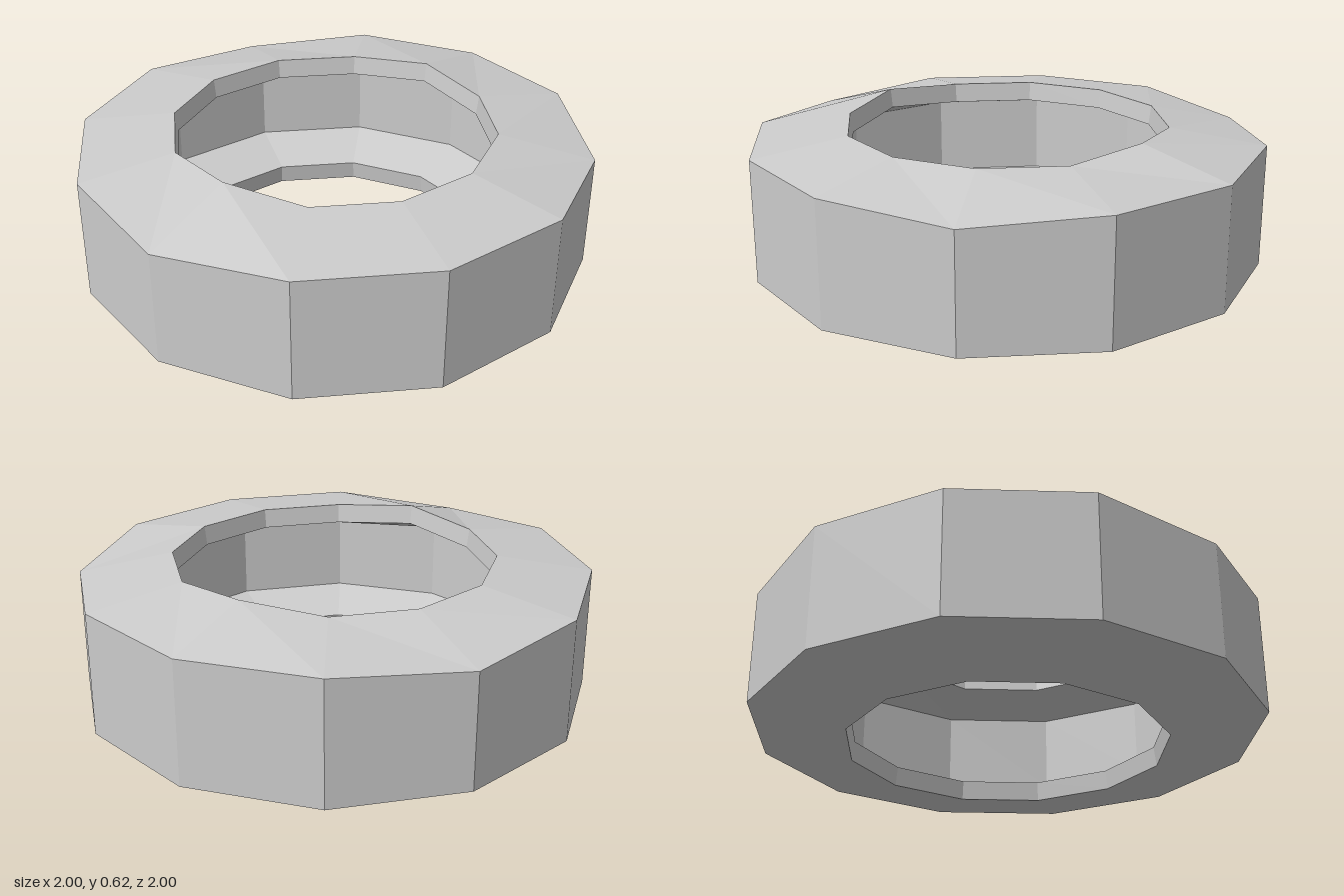
import * as THREE from 'three';

const SIDES = 12;

// Hollow tyre cross-section as [radius, height], closed, outside first
const PROFILE = [
  [1, 0.06], [1, 0.54],          // tread
  [0.63, 0.595], [0.62, 0.518],  // upper sidewall and bead lip
  [0.85, 0.46], [0.85, 0.142],   // inner cavity
  [0.62, 0.078], [0.63, 0],      // lower bead lip
  [1, 0.06],                     // lower sidewall back to the tread
];
const TOP_SHOULDER = 1, TOP_RIM = 2, TOP_LIP = 3;

export function createModel() {
  const group = new THREE.Group();
  group.name = 'tyre';

  const lathe = new THREE.LatheGeometry(PROFILE.map(([r, y]) => new THREE.Vector2(r, y)), SIDES);

  // Worn upper edge: dented shoulder corners and raised bead corners
  const pos = lathe.attributes.position;
  const shift = (i, j, dy) => {
    const k = i * PROFILE.length + j;
    pos.setY(k, pos.getY(k) + dy);
  };
  for (let i = 0; i <= SIDES; i++) {
    if (i % 4 === 3) shift(i, TOP_SHOULDER, -0.03);
    if (i % 6 === 5) {
      shift(i, TOP_RIM, 0.025);
      shift(i, TOP_LIP, 0.025);
    }
  }

  const geometry = lathe.toNonIndexed();
  geometry.computeVertexNormals();
  const tyre = new THREE.Mesh(
    geometry,
    new THREE.MeshStandardMaterial({ color: 0xcccccc, flatShading: true }),
  );
  tyre.name = 'tyreBody';
  group.add(tyre);
  return group;
}
